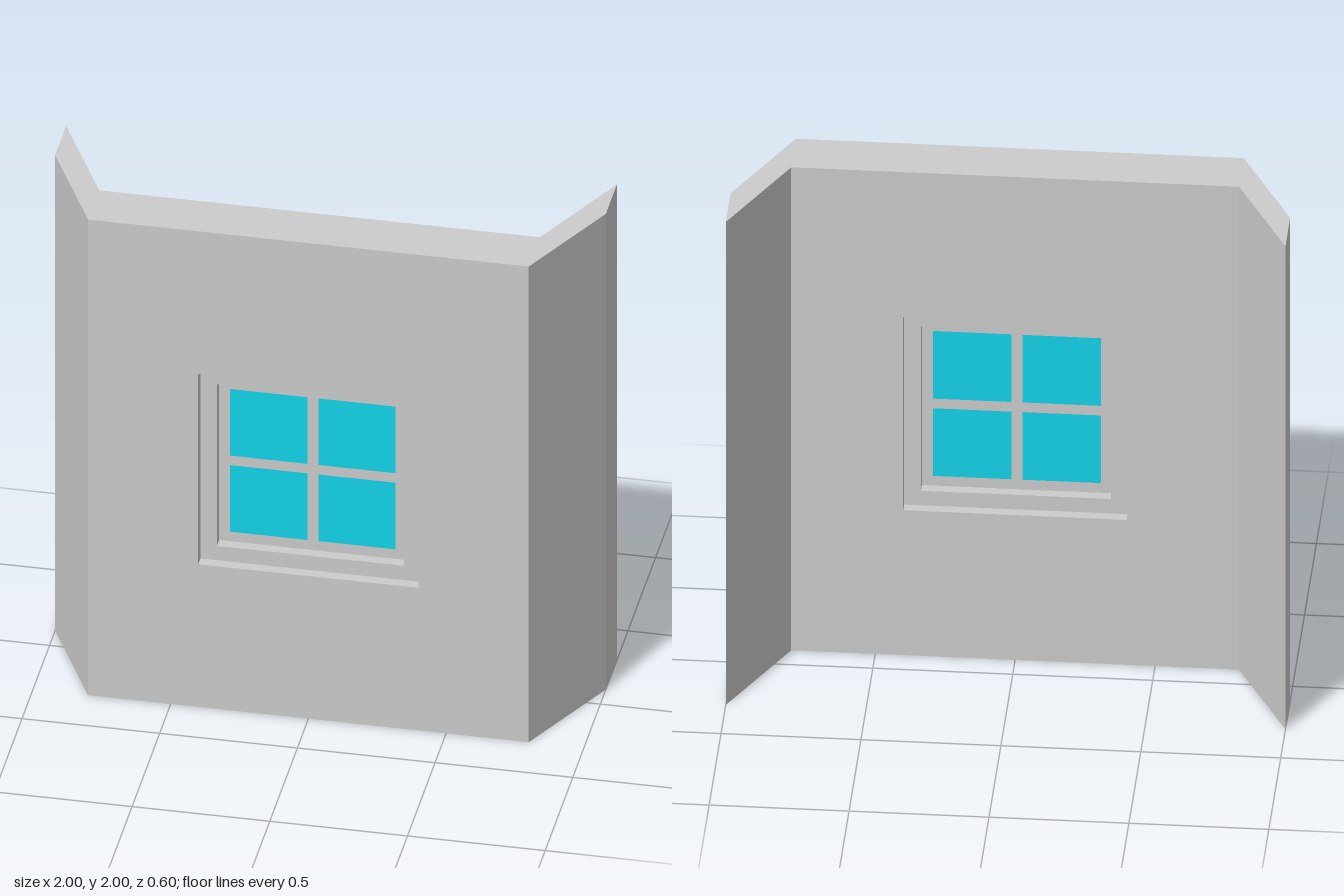
import * as THREE from 'three';

const grey = new THREE.MeshStandardMaterial({ color: 0xcccccc });
const cyan = new THREE.MeshStandardMaterial({ color: 0x14d3ea });
const WALL_Z = 0.2, WINDOW_Y = 1;

function polygon(points) {
  return new THREE.Shape(points.map(([x, y]) => new THREE.Vector2(x, y)));
}

// Rectangle corners around a centre
function rect(cx, cy, w, h) {
  return [[cx - w / 2, cy - h / 2], [cx + w / 2, cy - h / 2], [cx + w / 2, cy + h / 2], [cx - w / 2, cy + h / 2]];
}

// Upright slab with rectangular openings, centred on the wall's mid-plane
function slab(name, outline, holes, depth) {
  const shape = polygon(outline);
  for (const hole of holes) shape.holes.push(polygon(hole));
  const geometry = new THREE.ExtrudeGeometry(shape, { depth, bevelEnabled: false });
  geometry.translate(0, 0, WALL_Z - depth / 2);
  const mesh = new THREE.Mesh(geometry, grey);
  mesh.name = name;
  return mesh;
}

export function createModel() {
  const model = new THREE.Group();
  model.name = 'bayWallWithWindow';

  // Main wall with a square opening
  const opening = rect(0, WINDOW_Y, 0.8, 0.8);
  model.add(slab('mainWall', rect(0, 1, 1.6, 2), [opening], 0.2));

  // Slanted side walls running back from the main wall
  for (const [side, name] of [[1, 'leftSideWall'], [-1, 'rightSideWall']]) {
    const plan = polygon([[0.8 * side, -0.3], [side, 0.1], [side, 0.3], [0.8 * side, -0.1]]);
    const geometry = new THREE.ExtrudeGeometry(plan, { depth: 2, bevelEnabled: false });
    geometry.rotateX(-Math.PI / 2);
    const wing = new THREE.Mesh(geometry, grey);
    wing.name = name;
    model.add(wing);
  }

  // Stepped window: outer frame, then a thinner sash with crossing bars
  const windowGroup = new THREE.Group();
  windowGroup.name = 'window';
  const inner = rect(0, WINDOW_Y, 0.68, 0.68);
  windowGroup.add(slab('windowFrame', opening, [inner], 0.12));

  const centres = [];
  for (const x of [-0.16, 0.16]) for (const y of [-0.16, 0.16]) centres.push([x, WINDOW_Y + y]);
  windowGroup.add(slab('sash', inner, centres.map(([x, y]) => rect(x, y, 0.28, 0.28)), 0.04));

  // Four glass panes flush with the sash
  for (const [x, y] of centres) {
    const pane = new THREE.Mesh(new THREE.BoxGeometry(0.28, 0.28, 0.04), cyan);
    pane.position.set(x, y, WALL_Z);
    pane.name = 'glassPane';
    windowGroup.add(pane);
  }
  model.add(windowGroup);
  return model;
}
